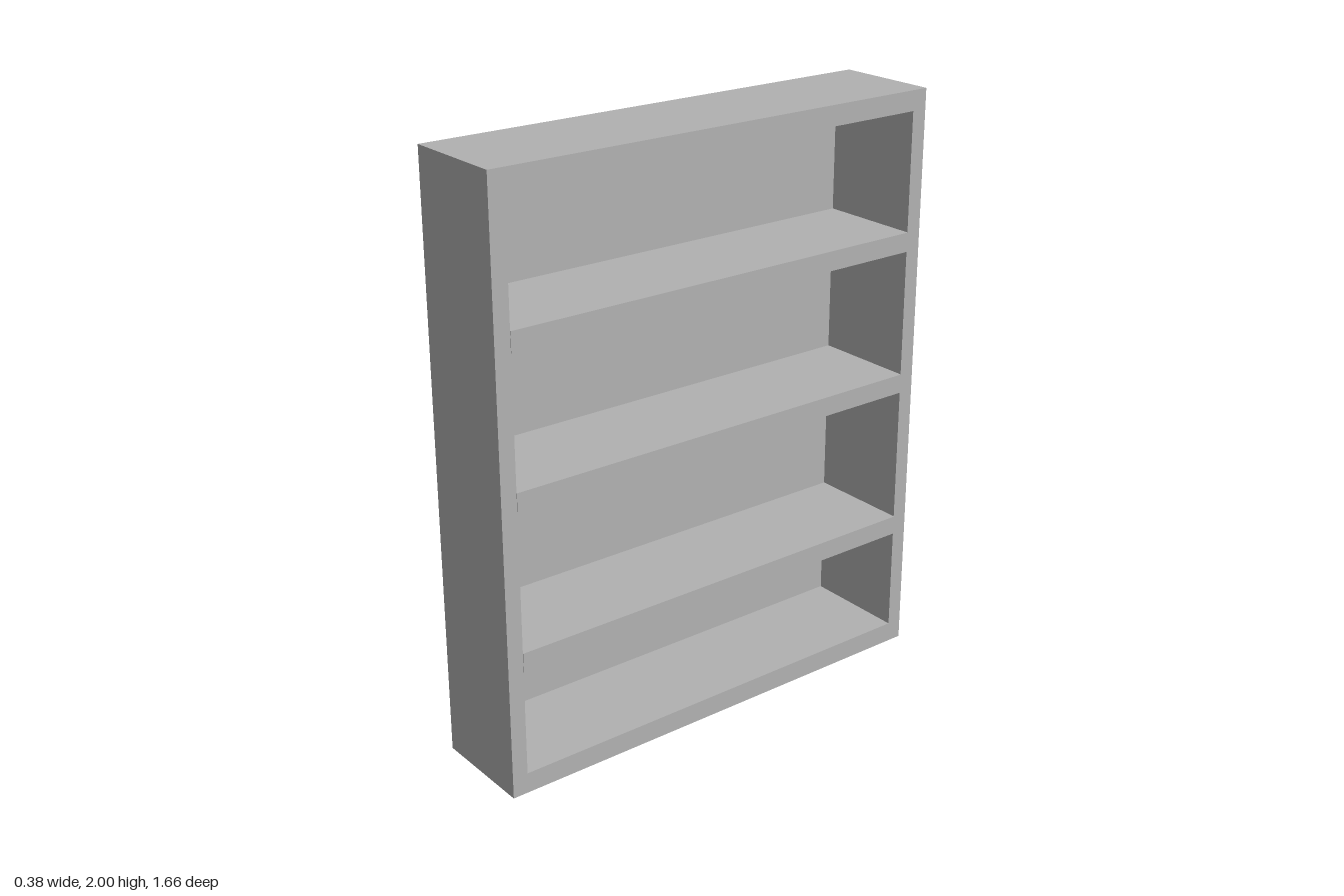
import * as THREE from 'three';

export function createModel() {
  const group = new THREE.Group();
  const grey = new THREE.MeshStandardMaterial({ color: 0xb2b2b2 });
  grey.name = 'plain grey';

  // Box given by its limits along each axis
  const board = (name, [x0, x1], [y0, y1], [z0, z1]) => {
    const mesh = new THREE.Mesh(new THREE.BoxGeometry(x1 - x0, y1 - y0, z1 - z0), grey);
    mesh.position.set((x0 + x1) / 2, (y0 + y1) / 2, (z0 + z1) / 2);
    mesh.name = name;
    group.add(mesh);
  };

  const depth = [-0.177, 0.186];
  const W = 0.829; // half width outside
  const I = 0.775; // half width inside

  // Frame: each board overlaps the end of the next one
  board('topBoard', depth, [1.932, 2], [-W, I]);
  board('bottomBoard', depth, [0, 0.07], [-I, W]);
  board('leftSide', depth, [0.07, 2], [I, W]);
  board('rightSide', depth, [0, 1.932], [-W, -I]);

  // Shelves, a hair proud of the frame
  for (const y of [0.43, 0.963, 1.463]) {
    board('shelf', [-0.177, 0.188], [y, y + 0.066], [-I, I]);
  }

  // Thin back panel
  board('backPanel', [-0.188, -0.177], [0.024, 1.976], [-0.825, 0.81]);

  return group;
}
